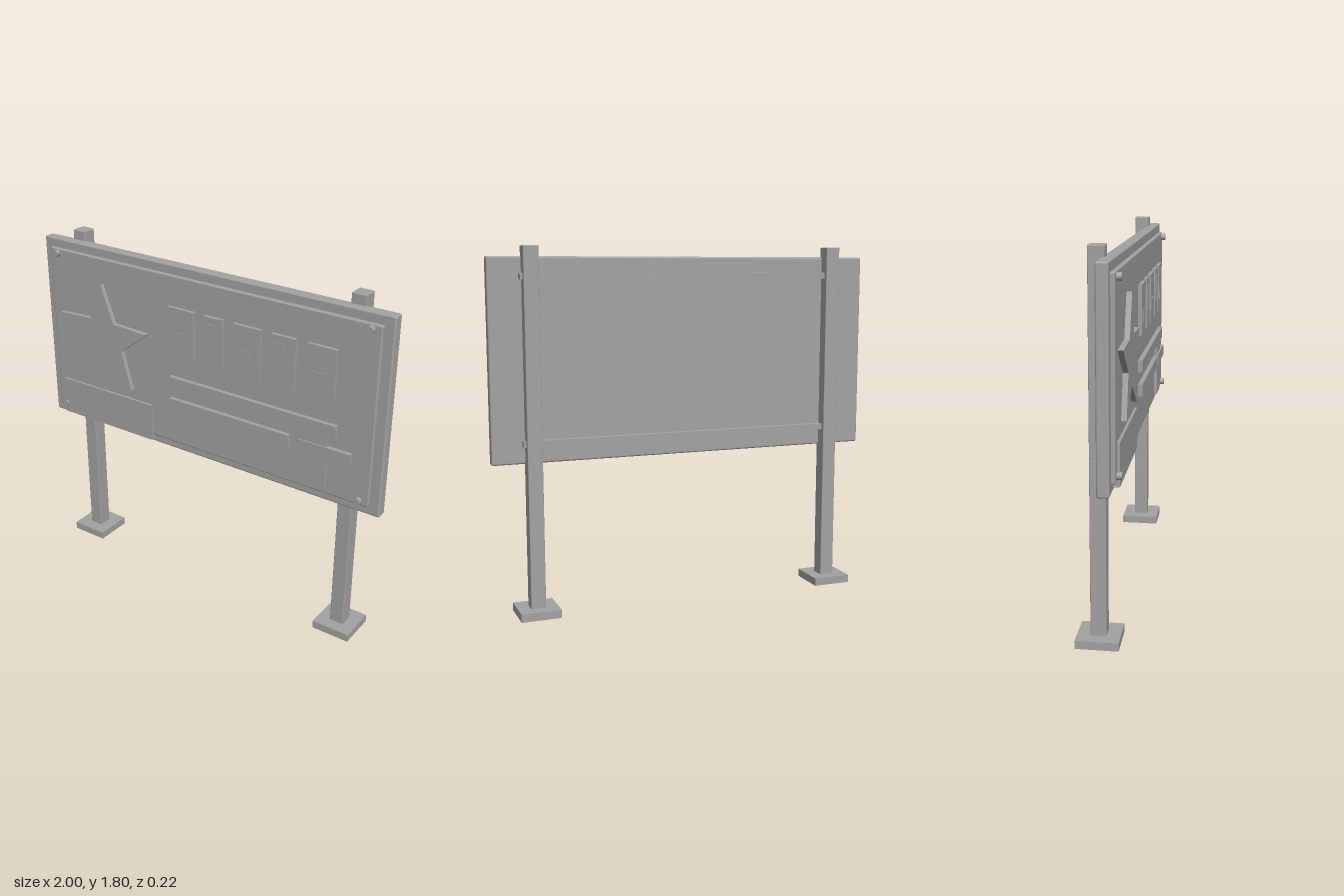
import * as THREE from 'three';
import { RoundedBoxGeometry } from 'three/addons/geometries/RoundedBoxGeometry.js';

export function createModel() {
  const model = new THREE.Group();
  model.name = 'signboard';
  const grey = new THREE.MeshStandardMaterial({ color: 0xa3a3a3 });
  grey.name = 'plain grey';

  const add = (name, geometry, x = 0, y = 0, z = 0) => {
    const mesh = new THREE.Mesh(geometry, grey);
    mesh.name = name;
    mesh.position.set(x, y, z);
    model.add(mesh);
    return mesh;
  };
  // Box given by its limits; a bevel softens its edges
  const block = (name, x0, x1, y0, y1, z0, z1, bevel = 0) => {
    const size = [x1 - x0, y1 - y0, z1 - z0];
    const geometry = bevel
      ? new RoundedBoxGeometry(...size, 2, bevel)
      : new THREE.BoxGeometry(...size);
    return add(name, geometry, (x0 + x1) / 2, (y0 + y1) / 2, (z0 + z1) / 2);
  };

  // Posts on square feet
  for (const [side, x] of [['left', 0.8], ['right', -0.8]]) {
    block(side + 'Foot', x - 0.1, x + 0.1, 0, 0.04, -0.11, 0.09);
    block(side + 'Post', x - 0.037, x + 0.037, 0.02, 1.8, -0.048, 0.026, 0.004);
  }

  // Back rails through the posts
  for (const y of [0.855, 1.655]) {
    block('backRail', -0.85, 0.85, y - 0.015, y + 0.015, -0.026, 0.011);
  }

  // Board and raised front panel
  block('board', -1, 1, 0.755, 1.75, 0.009, 0.066, 0.009);
  block('frontPanel', -0.95, 0.95, 0.803, 1.703, 0.05, 0.085, 0.007);

  // Corner screws
  for (const x of [-0.9, 0.9]) {
    for (const y of [0.828, 1.68]) {
      const screw = new THREE.CylinderGeometry(0.018, 0.018, 0.03, 12).rotateX(Math.PI / 2);
      add('cornerScrew', screw, x, y, 0.093);
    }
  }

  // Star
  const star = new THREE.Shape();
  for (let i = 0; i < 10; i++) {
    const r = i % 2 ? 0.125 : 0.298;
    const a = Math.PI / 2 + i * Math.PI / 5;
    star[i ? 'lineTo' : 'moveTo'](r * Math.cos(a), r * Math.sin(a));
  }
  add('star', new THREE.ExtrudeGeometry(star, { depth: 0.03, bevelEnabled: false }), -0.6, 1.277, 0.08);

  // Lower corner plate
  block('cornerPlate', -0.905, -0.305, 0.777, 0.977, 0.066, 0.098);

  // Row of tiles, each with a small raised block
  const tiles = [[-0.18, -0.03], [0.03, 0.14], [0.2, 0.35], [0.41, 0.54], [0.6, 0.75]];
  tiles.forEach(([x0, x1], i) => {
    block('tile', x0, x1, 1.3, 1.55, 0.08, 0.104);
    const [low, high] = i % 2 ? [1.38, 1.515] : [1.365, 1.425];
    const inset = (x1 - x0) * 0.17;
    block('tileBlock', x0 + inset, x0 + inset + (i % 2 ? 0.055 : 0.075), low, high, 0.1, 0.108);
  });

  // Raised bars and the column behind them
  block('upperBar', -0.18, 0.77, 1.12, 1.18, 0.08, 0.108);
  block('lowerBar', -0.18, 0.52, 1, 1.06, 0.08, 0.108);
  block('shortBar', 0.58, 0.85, 1, 1.06, 0.08, 0.108);
  block('column', 0.57, 0.725, 0.83, 1.13, 0.08, 0.1);

  return model;
}
